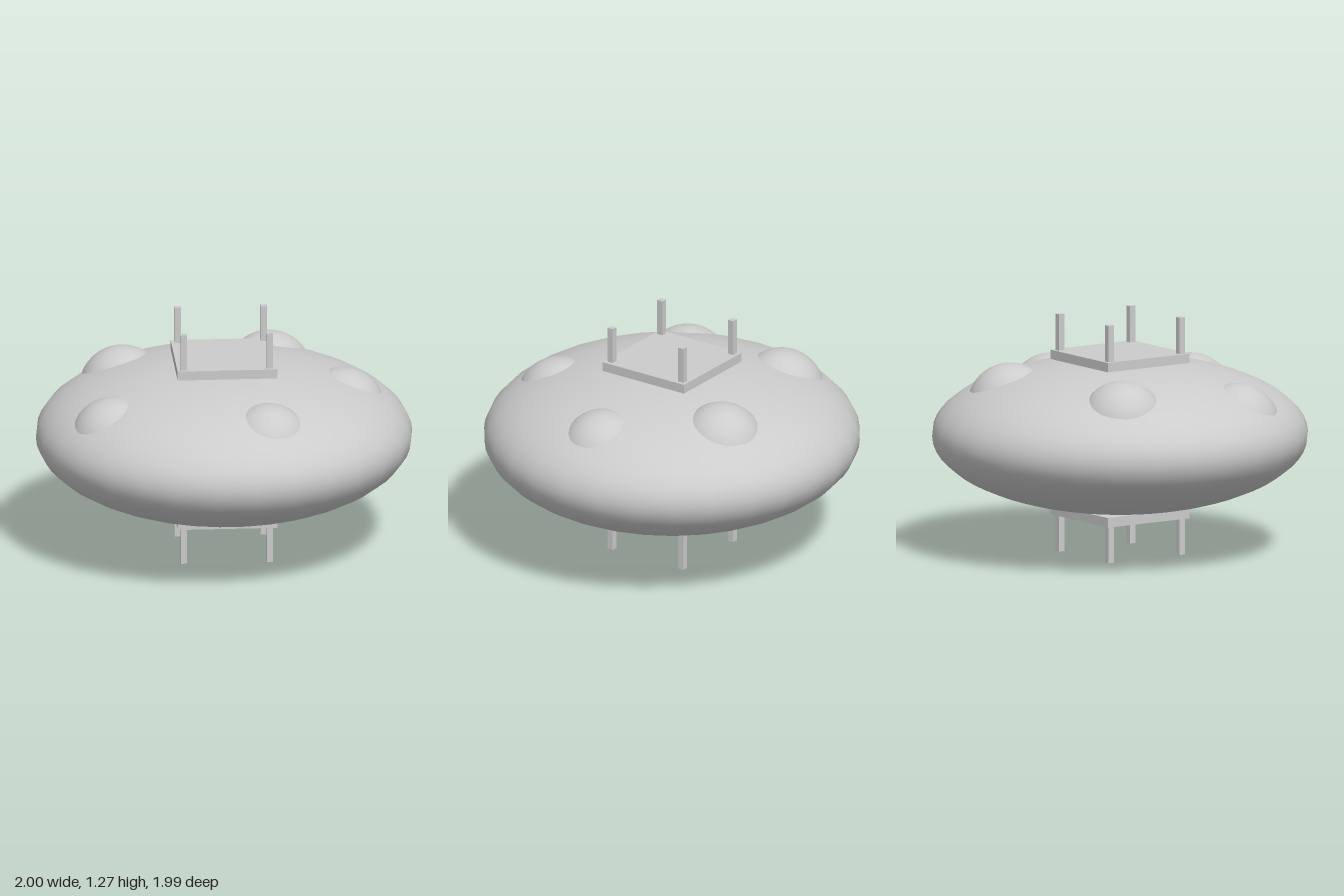
import * as THREE from 'three';

export function createModel() {
  const model = new THREE.Group();
  const material = new THREE.MeshStandardMaterial({ color: 0xcccccc });
  const centreY = 0.64, halfHeight = 0.405;

  function add(name, geometry, x, y, z, parent = model) {
    const mesh = new THREE.Mesh(geometry, material);
    mesh.name = name;
    mesh.position.set(x, y, z);
    parent.add(mesh);
    return mesh;
  }

  // Flattened round body
  const body = new THREE.SphereGeometry(1, 30, 30);
  body.scale(1, halfHeight, 1);
  add('body', body, 0, centreY, 0);

  // Shallow domes sunk into the upper shell: x, z, height above the shell
  const domeRadius = 0.23;
  const dome = new THREE.SphereGeometry(domeRadius, 48, 32);
  const domes = [
    [0.7, 0, 0.045],
    [0.3, -0.56, 0.07],
    [-0.56, -0.375, 0.075],
    [-0.68, 0.37, 0.045],
    [0.215, 0.655, 0.045],
  ];
  for (const [x, z, rise] of domes) {
    const y = halfHeight * Math.sqrt(1 - x * x - z * z);
    const normal = new THREE.Vector3(x, y / halfHeight ** 2, z).normalize();
    const centre = new THREE.Vector3(x, centreY + y, z).addScaledVector(normal, rise - domeRadius);
    add('dome', dome, centre.x, centre.y, centre.z);
  }

  // Square plate with four posts, one set on the roof and one underneath
  function addPlatform(prefix, plateBottom, plateTop, postBottom, postTop) {
    const platform = new THREE.Group();
    platform.name = prefix + 'Platform';
    model.add(platform);
    const plate = new THREE.BoxGeometry(0.53, plateTop - plateBottom, 0.53);
    add(prefix + 'Plate', plate, 0, (plateBottom + plateTop) / 2, 0, platform);
    const post = new THREE.BoxGeometry(0.034, postTop - postBottom, 0.034);
    for (const x of [-0.23, 0.227]) {
      for (const z of [-0.23, 0.23]) {
        add(prefix + 'Post', post, x, (postBottom + postTop) / 2, z, platform);
      }
    }
  }
  addPlatform('upper', 1.03, 1.08, 1.05, 1.275);
  addPlatform('lower', 0.195, 0.247, 0, 0.22);

  return model;
}
